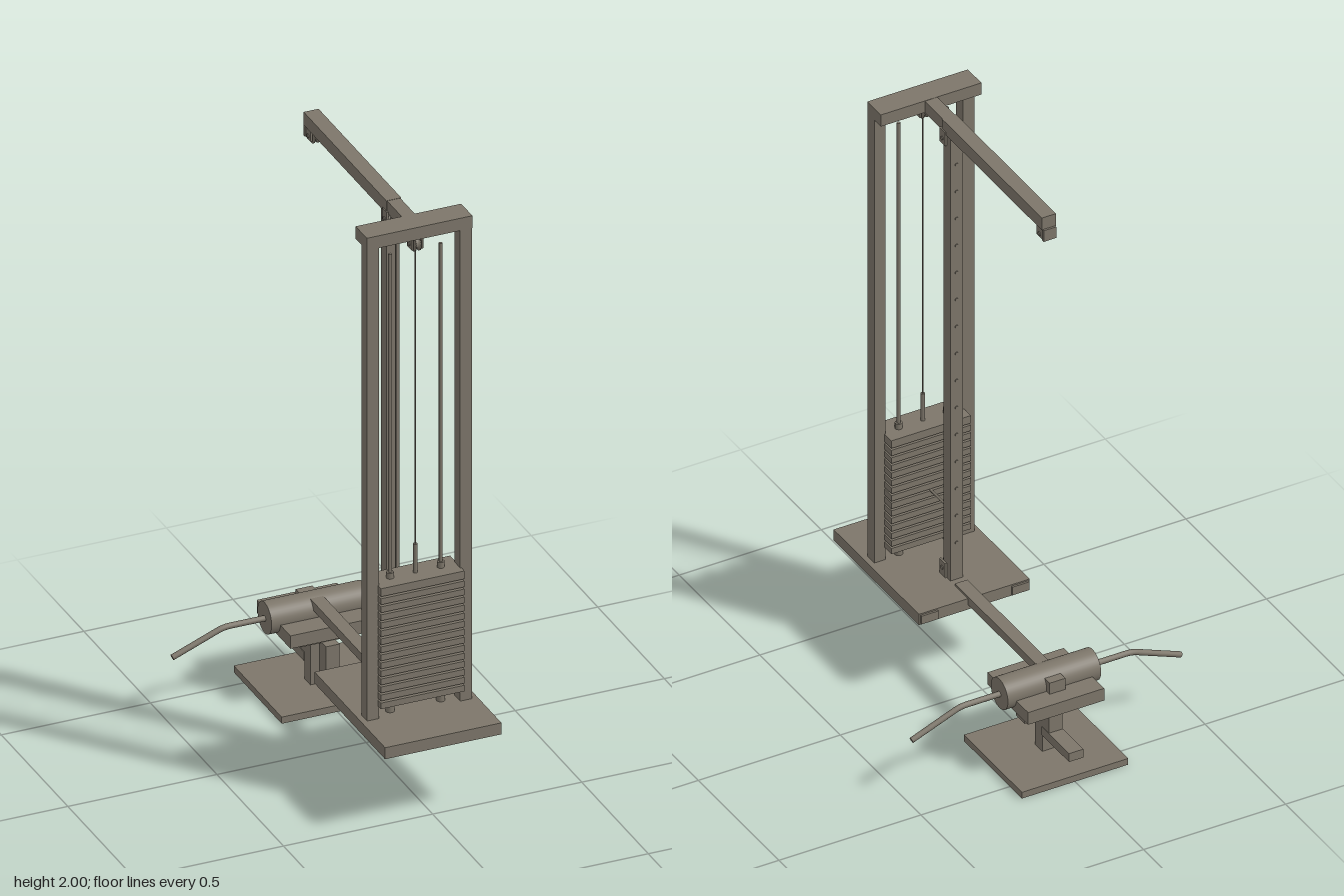
import * as THREE from 'three';

export function createModel() {
  const model = new THREE.Group();
  model.name = 'cableWeightMachine';
  const steel = new THREE.MeshStandardMaterial({ color: 0x7d766a });
  steel.name = 'warmGreySteel';

  const add = (name, geometry) => {
    const mesh = new THREE.Mesh(geometry, steel);
    mesh.name = name;
    model.add(mesh);
    return mesh;
  };
  // Box given by its lower and upper limits on each axis
  const box = (name, x0, x1, y0, y1, z0, z1) => {
    const m = add(name, new THREE.BoxGeometry(x1 - x0, y1 - y0, z1 - z0));
    m.position.set((x0 + x1) / 2, (y0 + y1) / 2, (z0 + z1) / 2);
    return m;
  };
  const rodY = (name, r, x, z, y0, y1, sides = 12) => {
    const m = add(name, new THREE.CylinderGeometry(r, r, y1 - y0, sides));
    m.position.set(x, (y0 + y1) / 2, z);
    return m;
  };
  const rodX = (name, r, length, x, y, z, sides = 24) => {
    const m = add(name, new THREE.CylinderGeometry(r, r, length, sides));
    m.rotation.z = Math.PI / 2;
    m.position.set(x, y, z);
    return m;
  };
  const rodZ = (name, r, x, y, z0, z1) => {
    const m = add(name, new THREE.CylinderGeometry(r, r, z1 - z0, 12));
    m.rotation.x = Math.PI / 2;
    m.position.set(x, y, (z0 + z1) / 2);
    return m;
  };

  // Main frame
  box('basePlate', -0.195, 0.195, 0.275, 0.315, 0.05, 0.58);
  for (const s of [-1, 1]) {
    box('frontColumn', s * 0.156 - 0.02, s * 0.156 + 0.02, 0.315, 1.957, 0.36, 0.402);
    box('baseEdgePad', s * 0.16 - 0.03, s * 0.16 + 0.03, 0.28, 0.31, 0.043, 0.05);
  }
  box('topCrossbeam', -0.177, 0.177, 1.957, 2, 0.318, 0.402);
  box('topBoom', -0.025, 0.025, 1.955, 2, -0.413, 0.208);
  box('boomConnector', -0.022, 0.022, 1.957, 1.999, 0.208, 0.32);
  box('rearColumn', -0.022, 0.022, 0.315, 1.956, 0.16, 0.203);

  // Adjustment studs along the rear column
  for (let i = 0; i < 15; i++) rodZ('adjustmentStud', 0.006, 0, 0.45 + i * 0.1, 0.157, 0.161);

  // Weight stack
  const plates = 15, pitch = 0.028;
  for (let i = 0; i < plates; i++) {
    const y = 0.36 + i * pitch;
    box('weightPlate', -0.14, 0.14, y, y + 0.021, 0.318, 0.425);
  }
  box('stackCore', -0.03, 0.03, 0.36, 0.77, 0.35, 0.39);
  box('stackCap', -0.14, 0.14, 0.765, 0.78, 0.318, 0.425);
  rodY('selectorStem', 0.007, 0, 0.37, 0.75, 0.88);
  rodZ('selectorPin', 0.004, 0, 0.55, 0.22, 0.33);
  rodZ('selectorKnob', 0.009, 0, 0.55, 0.217, 0.227);
  for (const x of [-0.085, 0.085]) {
    rodY('guideRod', 0.006, x, 0.37, 0.315, 1.91);
    rodY('rodCollar', 0.012, x, 0.37, 0.78, 0.8);
    rodY('rodBumper', 0.014, x, 0.37, 0.315, 0.338);
  }

  // Cables
  rodY('stackCable', 0.0025, 0, 0.37, 0.88, 1.93, 8);
  rodY('columnCable', 0.0025, 0, 0.223, 0.34, 1.95, 8);

  // Pulley: grooved wheel, axle and two cheek plates
  const pulley = (name, y, z, r, cheekTop, cheekBottom, half) => {
    const profile = [[0, -0.01], [r, -0.01], [r, -0.006], [r - 0.008, 0], [r, 0.006], [r, 0.01], [0, 0.01]]
      .map(([a, b]) => new THREE.Vector2(a, b));
    const wheel = add(name + 'Wheel', new THREE.LatheGeometry(profile, 24));
    wheel.rotation.z = Math.PI / 2;
    wheel.position.set(0, y, z);
    rodX(name + 'Axle', 0.007, half * 2 + 0.006, 0, y, z, 12);
    for (const s of [-1, 1]) {
      const x = s * (half - 0.003);
      box(name + 'Cheek', x - 0.003, x + 0.003, cheekBottom, cheekTop, z - 0.018, z + 0.018);
    }
  };
  pulley('frontTopPulley', 1.93, 0.37, 0.026, 1.958, 1.915, 0.02);
  pulley('rearTopPulley', 1.935, 0.2, 0.027, 1.965, 1.915, 0.028);
  pulley('boomEndPulley', 1.927, -0.39, 0.026, 1.956, 1.915, 0.02);
  pulley('lowerPulley', 0.345, 0.2, 0.029, 0.368, 0.315, 0.028);
  box('boomEndBracket', -0.022, 0.022, 1.915, 1.956, -0.42, -0.41);

  // Lower arm and seat support
  box('lowerArm', -0.022, 0.022, 0.292, 0.322, -0.37, 0.132);
  box('floorPlate', -0.187, 0.187, 0, 0.023, -0.575, -0.215);
  box('seatPad', -0.134, 0.134, 0.223, 0.268, -0.52, -0.268);
  box('seatMount', -0.092, 0.092, 0.212, 0.223, -0.503, -0.282);
  box('supportPost', -0.023, 0.023, 0.02, 0.214, -0.412, -0.367);
  box('frontStub', -0.023, 0.023, 0.06, 0.214, -0.302, -0.25);
  box('rearStub', -0.023, 0.023, 0.115, 0.214, -0.455, -0.412);
  box('footBar', -0.025, 0.025, 0.085, 0.116, -0.582, -0.412);
  box('rollerBracket', -0.028, 0.028, 0.265, 0.309, -0.466, -0.425);

  // Padded roller and drooping handles
  rodX('roller', 0.053, 0.328, 0, 0.275, -0.395, 40);
  for (const s of [-1, 1]) {
    const path = new THREE.CurvePath();
    const v = (x, y) => new THREE.Vector3(s * x, y, -0.395);
    path.add(new THREE.LineCurve3(v(0.1, 0.273), v(0.28, 0.273)));
    path.add(new THREE.QuadraticBezierCurve3(v(0.28, 0.273), v(0.302, 0.273), v(0.322, 0.265)));
    path.add(new THREE.LineCurve3(v(0.322, 0.265), v(0.472, 0.206)));
    add('handleBar', new THREE.TubeGeometry(path, 40, 0.0095, 12, false));
    const cap = add('handleEnd', new THREE.CylinderGeometry(0.0095, 0.0095, 0.004, 12));
    cap.position.copy(v(0.472, 0.206));
    cap.rotation.z = s * (-Math.PI / 2 - 0.375);
  }
  return model;
}
